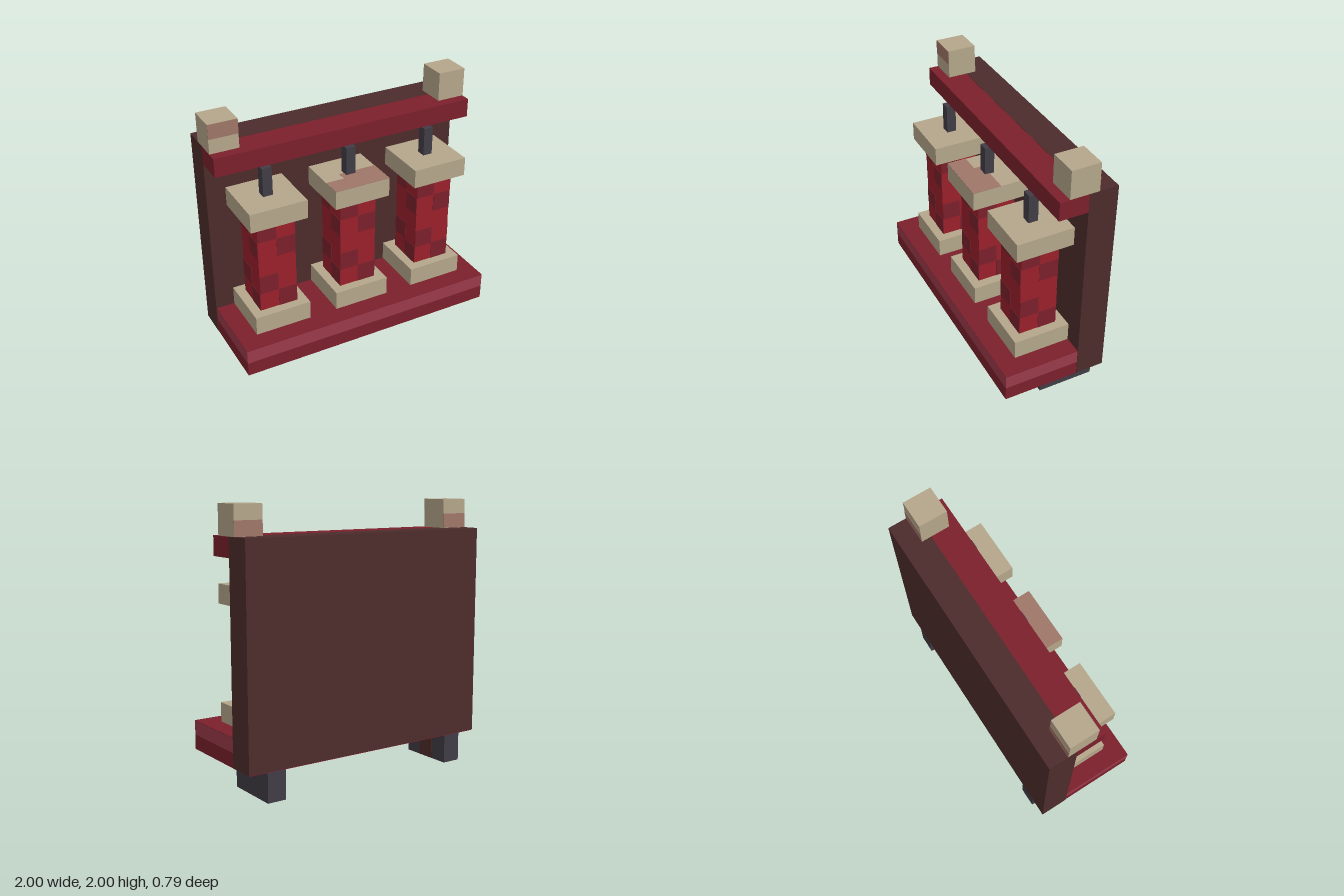
import * as THREE from 'three';

const mat = (name, color) => {
  const m = new THREE.MeshStandardMaterial({ color });
  m.name = name;
  return m;
};

export function createModel() {
  const model = new THREE.Group();
  model.name = 'pillarRack';

  const brown = mat('dark brown', 0x4d2c2b);
  const darkRed = mat('dark red', 0x7b202b);
  const red = mat('bright red', 0x9b202b);
  const rose = mat('rose trim', 0x9a3a49);
  const tan = mat('tan stone', 0xb4a68a);
  const blush = mat('blush stone', 0x9e7668);
  const iron = mat('iron grey', 0x413c46);

  // Box given by its two extreme corners
  const box = (parent, name, material, [x0, y0, z0], [x1, y1, z1]) => {
    const mesh = new THREE.Mesh(new THREE.BoxGeometry(x1 - x0, y1 - y0, z1 - z0), material);
    mesh.position.set((x0 + x1) / 2, (y0 + y1) / 2, (z0 + z1) / 2);
    mesh.name = name;
    parent.add(mesh);
    return mesh;
  };
  const T = 0.003; // thickness of painted plates

  // Back panel, top beam and two-tone shelf that runs beneath the panel
  box(model, 'backPanel', brown, [-1, 0.219, -0.393], [1, 1.786, -0.178]);
  box(model, 'topBeam', darkRed, [-1, 1.645, -0.178], [1, 1.784, 0.036]);
  box(model, 'shelfLower', darkRed, [-0.996, 0.214, -0.39], [0.996, 0.322, 0.393]);
  box(model, 'shelfTrim', rose, [-0.996, 0.322, -0.178], [0.996, 0.427, 0.393]);
  box(model, 'shelfTop', darkRed, [-0.996, 0.427, -0.178], [0.996, 0.43, 0.393]);

  for (const s of [-1, 1]) {
    const side = s < 0 ? 'right' : 'left';

    // Feet
    const fx = s * 0.786;
    box(model, side + 'Foot', iron, [fx - 0.0715, 0, -0.393], [fx + 0.0715, 0.215, 0.036]);

    // Corner blocks on the beam, with a blush band low on the back
    const cx = s * 0.893;
    box(model, side + 'CornerBlock', tan, [cx - 0.107, 1.786, -0.25], [cx + 0.107, 2, -0.036]);
    box(model, side + 'BlockBackBand', blush,
      [cx - 0.107, 1.787, -0.25 - T], [cx + 0.107, 1.893, -0.25]);
  }
  box(model, 'rightBlockFrontBand', blush, [-1, 1.893, -0.036], [-0.786, 2, -0.036 + T]);
  box(model, 'rightFootStripe', brown, [-0.7145, 0.001, -0.25], [-0.7145 + T, 0.214, -0.107]);

  // Dark cells of the pillar pattern: [column, row from the bottom]
  const cells = [[0, 4], [1, 3], [0, 1], [1, 0]];
  const cell = 0.143;

  for (const [i, x] of [-0.643, 0, 0.643].entries()) {
    const pillar = new THREE.Group();
    pillar.name = 'pillar' + (i + 1);
    pillar.position.set(x, 0, 0.036);
    model.add(pillar);

    box(pillar, 'base', tan, [-0.214, 0.43, -0.213], [0.214, 0.573, 0.214]);
    box(pillar, 'shaft', red, [-0.143, 0.573, -0.143], [0.143, 1.288, 0.143]);
    box(pillar, 'capital', tan, [-0.214, 1.288, -0.213], [0.214, 1.43, 0.214]);
    box(pillar, 'hanger', iron, [-0.036, 1.43, -0.036], [0.036, 1.645, 0.036]);

    // Same pattern on all four sides of the shaft
    for (let k = 0; k < 4; k++) {
      const face = new THREE.Group();
      face.name = 'shaftPattern';
      face.rotation.y = k * Math.PI / 2;
      pillar.add(face);
      for (const [c, r] of cells) {
        const px = (c - 1) * cell, py = 0.573 + r * cell;
        box(face, 'patternCell', darkRed, [px, py, 0.143], [px + cell, py + cell, 0.143 + T]);
      }
    }

    // Weathered top of the middle capital
    if (i === 1) {
      box(pillar, 'capitalPatchFront', blush, [-0.214, 1.43, 0.071], [0.214, 1.43 + T, 0.214]);
      box(pillar, 'capitalPatchSide', blush, [-0.071, 1.43, 0], [0.214, 1.43 + T, 0.071]);
    }
  }

  return model;
}
